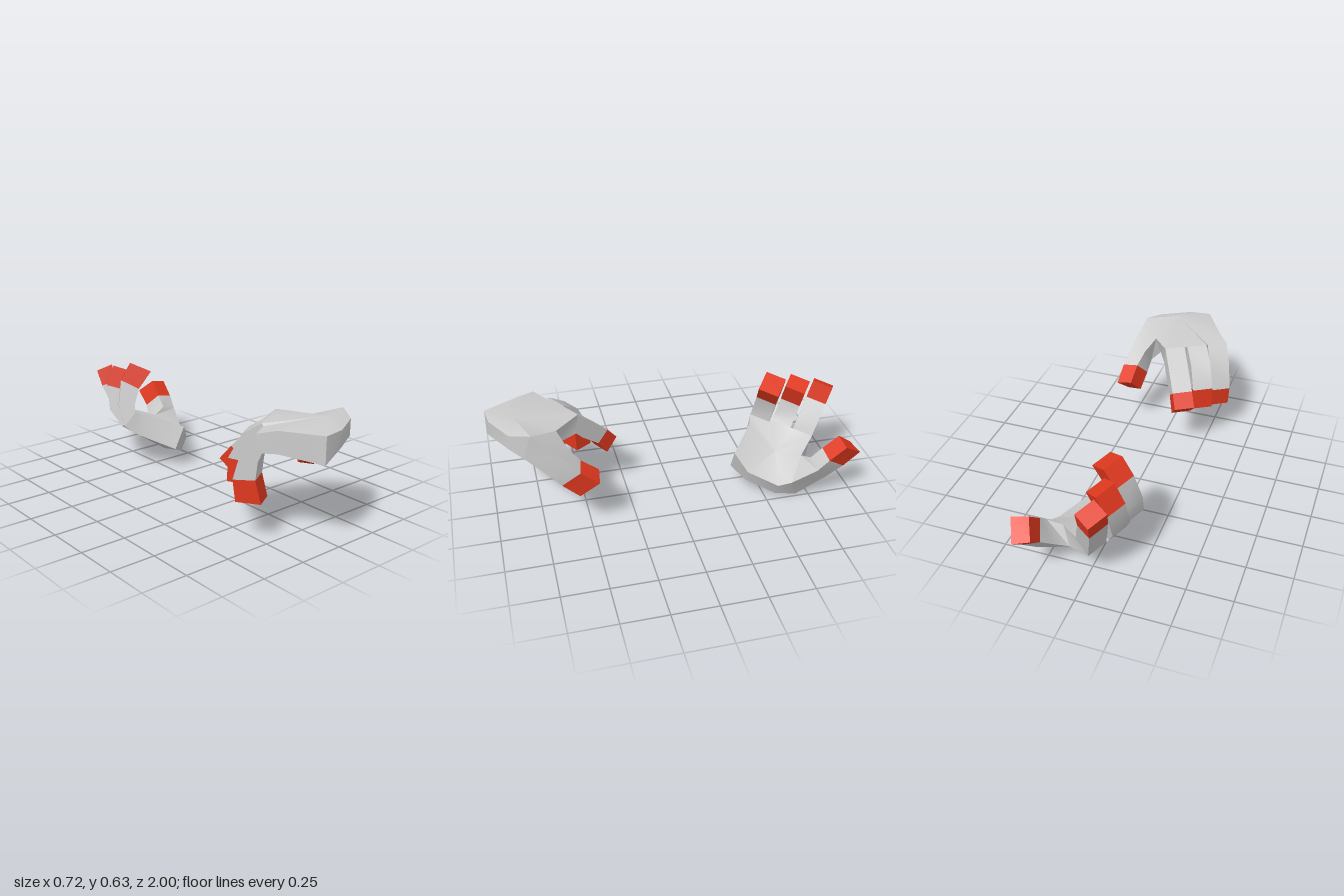
import * as THREE from 'three';
import { toCreasedNormals } from 'three/addons/utils/BufferGeometryUtils.js';

const V = (x, y, z) => new THREE.Vector3(x, y, z);
const grey = new THREE.MeshStandardMaterial({ color: 0xcccccc });
const red = new THREE.MeshStandardMaterial({ color: 0xe0381e });

// Finger roots: dorsal corner on the thumb side, then profile rows of
// [dorsal reach, dorsal y, palmar reach, palmar y] from knuckle to tip.
const FINGERS = {
  indexFinger: { root: [0.02, 0.515], rows: [[0, 0.595, -0.02, 0.485], [0.093, 0.51, 0.025, 0.437], [0.2, 0.41, 0.13, 0.352], [0.262, 0.335, 0.19, 0.266]] },
  middleFinger: { root: [-0.095, 0.58], rows: [[0, 0.595, -0.02, 0.49], [0.1, 0.53, 0.025, 0.455], [0.17, 0.395, 0.07, 0.385], [0.175, 0.27, 0.075, 0.265]] },
  littleFinger: { root: [-0.2, 0.655], rows: [[0, 0.585, -0.03, 0.49], [0.075, 0.485, -0.01, 0.44], [0.115, 0.337, 0, 0.347], [0.1, 0.222, -0.03, 0.225]] },
};
const FORWARD = V(-0.51, 0, -0.86);
const ACROSS = V(-0.1, 0, 0.06);

// Four corners per section: dorsal near thumb, dorsal far, palmar far, palmar near thumb
function fingerSections({ root, rows }) {
  return rows.map(([dh, dy, ph, py]) => {
    const at = (h, y) => V(root[0], y, root[1]).addScaledVector(FORWARD, h);
    const d = at(dh, dy), p = at(ph, py);
    return [d, d.clone().add(ACROSS), p.clone().add(ACROSS), p];
  });
}

// Thumb sections, same corner order (outer side first)
const THUMB = [
  [V(0.225, 0.627, 0.785), V(0.12, 0.575, 0.645), V(0.1, 0.465, 0.68), V(0.2, 0.485, 0.83)],
  [V(0.272, 0.5, 0.64), V(0.175, 0.5, 0.6), V(0.16, 0.4, 0.68), V(0.25, 0.385, 0.71)],
  [V(0.297, 0.41, 0.553), V(0.205, 0.43, 0.54), V(0.165, 0.345, 0.615), V(0.257, 0.32, 0.65)],
  [V(0.305, 0.335, 0.457), V(0.213, 0.36, 0.445), V(0.18, 0.27, 0.53), V(0.27, 0.245, 0.56)],
];

const quad = (a, b, c, d) => [[a, b, c], [a, c, d]];

// Skin between successive four-cornered sections, with an optional end cap
function tube(sections, cap) {
  const tris = [];
  for (let i = 0; i + 1 < sections.length; i++) {
    const s = sections[i], t = sections[i + 1];
    for (let j = 0; j < 4; j++) {
      const k = (j + 1) % 4;
      tris.push(...quad(s[j], t[j], t[k], s[k]));
    }
  }
  if (cap) {
    const [a, b, c, d] = sections[sections.length - 1];
    tris.push(...quad(d, c, b, a));
  }
  return tris;
}

// Palm slab: a back and a hollow underside fanned from their centres, joined by a rim
function palm(roots) {
  const ring = [
    [V(-0.12, 0.607, 0.995), V(-0.12, 0.462, 0.995)],
    [V(0, 0.608, 0.98), V(0, 0.52, 0.98)],
    [V(0.163, 0.608, 0.89), V(0.163, 0.52, 0.89)],
  ];
  for (const [a, b, c, d] of roots) ring.push([a, d], [b, c]);
  ring.push([V(-0.235, 0.605, 0.79), V(-0.235, 0.488, 0.79)]);
  const back = V(0.04, 0.637, 0.85), hollow = V(-0.02, 0.525, 0.76);
  const tris = [];
  ring.forEach(([d0, p0], i) => {
    const [d1, p1] = ring[(i + 1) % ring.length];
    tris.push([back, d0, d1], [hollow, p1, p0], ...quad(p0, p1, d1, d0));
  });
  return tris;
}

function buildHand(name, matrix) {
  const hand = new THREE.Group();
  hand.name = name;
  const flip = matrix.determinant() < 0;
  const add = (part, tris, material) => {
    const pts = tris.flatMap(([a, b, c]) => (flip ? [a, c, b] : [a, b, c]))
      .map((p) => p.clone().applyMatrix4(matrix));
    const geo = toCreasedNormals(new THREE.BufferGeometry().setFromPoints(pts), 0.6);
    const mesh = new THREE.Mesh(geo, material);
    mesh.name = part;
    hand.add(mesh);
  };
  const digits = { thumb: THUMB };
  for (const key in FINGERS) digits[key] = fingerSections(FINGERS[key]);
  add('palm', palm(Object.values(digits).map((s) => s[0])), grey);
  for (const [key, s] of Object.entries(digits)) {
    add(key, tube(s.slice(0, 3), false), grey);
    add(key + 'Tip', tube(s.slice(2), true), red);
  }
  return hand;
}

export function createModel() {
  const model = new THREE.Group();
  model.name = 'pairOfHands';
  // The second hand is the mirror image, turned palm up: side, up and forward axes at the wrist corner
  const from = new THREE.Matrix4().makeBasis(V(0.937, 0, -0.35), V(0, 1, 0), V(-0.35, 0, -0.937)).setPosition(-0.12, 0.46, 0.995);
  const to = new THREE.Matrix4().makeBasis(V(0.642, -0.318, -0.698), V(-0.454, -0.892, -0.011), V(-0.617, 0.323, -0.719)).setPosition(0.1, 0.26, -0.345);
  model.add(buildHand('palmDownHand', new THREE.Matrix4()));
  model.add(buildHand('palmUpHand', to.multiply(from.invert())));
  return model;
}
